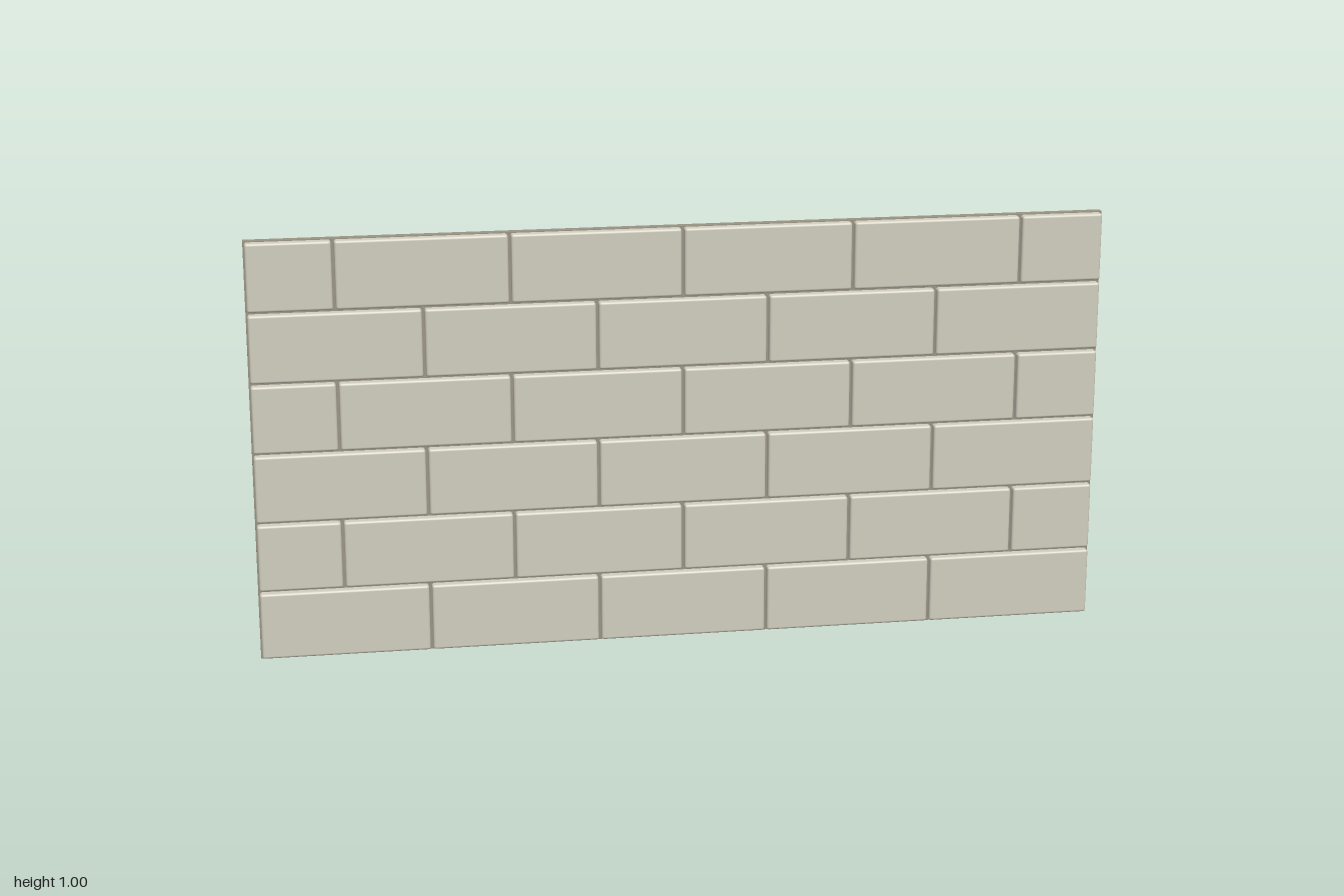
import * as THREE from 'three';
import { RoundedBoxGeometry } from 'three/addons/geometries/RoundedBoxGeometry.js';

const ROWS = 6, PITCH = 1 / ROWS, TILE_W = 0.4, GAP = 0.007;
const RADIUS = 0.006, FRONT = 0.02;

export function createModel() {
  const wall = new THREE.Group();
  wall.name = 'tiledWallPanel';
  const tileMat = new THREE.MeshStandardMaterial({ color: 0xd0cdbe });
  const backMat = new THREE.MeshStandardMaterial({ color: 0x9a9484 });

  // Flat backing board
  const backing = new THREE.Mesh(new THREE.BoxGeometry(2, 1, 0.02), backMat);
  backing.name = 'backing';
  backing.position.set(0, 0.5, -0.01);
  wall.add(backing);

  // Tile with softened front edges; its rear rounding is sunk in the backing
  const depth = FRONT + RADIUS;
  const makeTile = (width) =>
    new RoundedBoxGeometry(width - GAP, PITCH - GAP, depth, 3, RADIUS);
  const fullTile = makeTile(TILE_W);
  const halfTile = makeTile(TILE_W / 2);

  // Running bond: every other row starts and ends with a half tile
  for (let row = 0; row < ROWS; row++) {
    const course = new THREE.Group();
    course.name = `tileRow${row + 1}`;
    course.position.y = (row + 0.5) * PITCH + 0.0015;
    const h = TILE_W / 2, f = TILE_W;
    const widths = row % 2 ? [h, f, f, f, f, h] : [f, f, f, f, f];
    let x = -1;
    widths.forEach((w, i) => {
      const tile = new THREE.Mesh(w === f ? fullTile : halfTile, tileMat);
      tile.name = `tile${i + 1}`;
      tile.position.set(x + w / 2, 0, FRONT - depth / 2);
      course.add(tile);
      x += w;
    });
    wall.add(course);
  }
  return wall;
}
